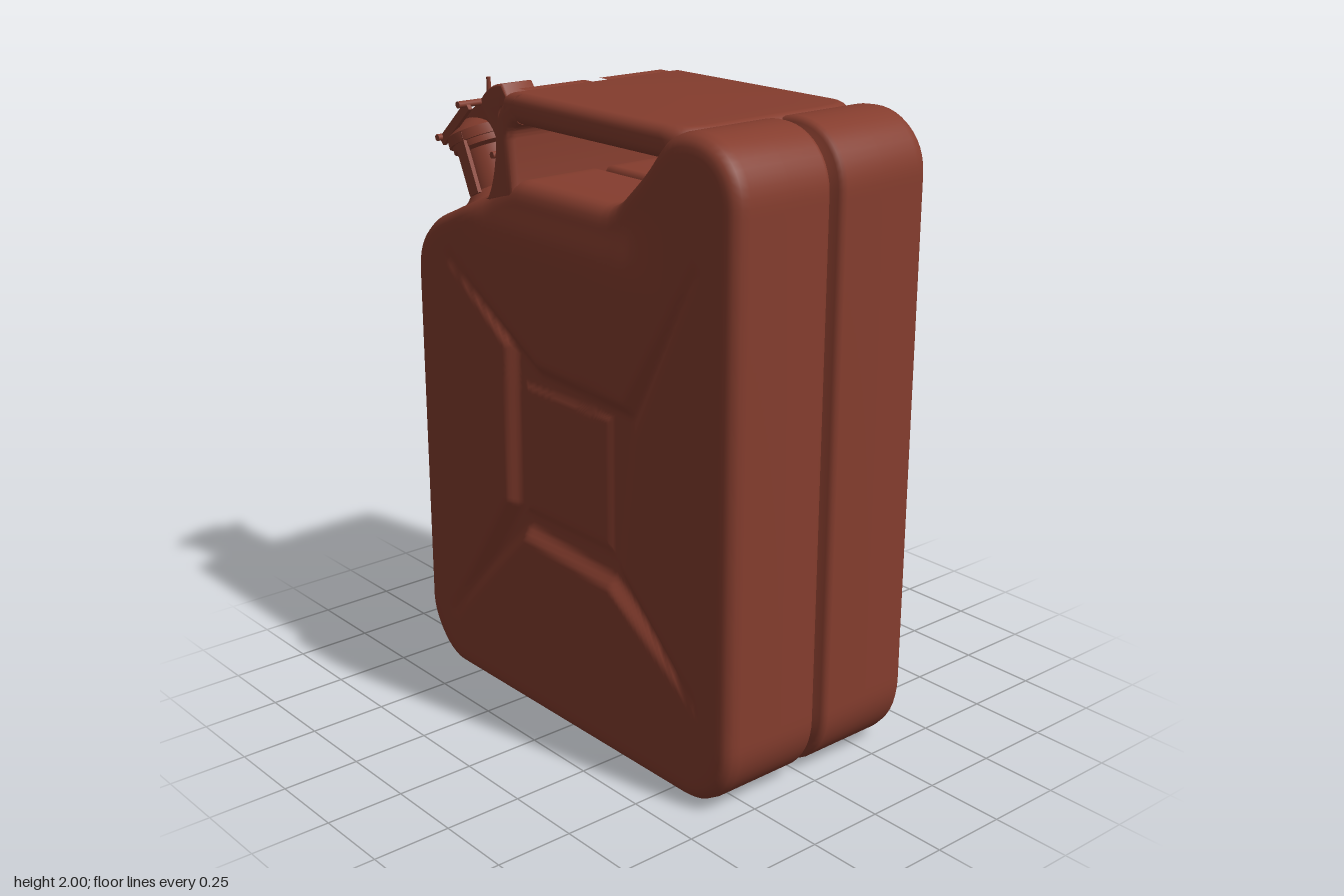
import * as THREE from 'three';
import { toCreasedNormals } from 'three/addons/utils/BufferGeometryUtils.js';

const paint = new THREE.MeshStandardMaterial({ color: 0x853d2e });
paint.name = 'rust red paint';

const smooth = THREE.MathUtils.smoothstep;

function part(name, geometry, parent) {
  const mesh = new THREE.Mesh(geometry, paint);
  mesh.name = name;
  parent.add(mesh);
  return mesh;
}

// Side outline of the can, counter-clockwise
function bodyOutline() {
  const s = new THREE.Shape();
  s.moveTo(-0.58, 0);
  s.lineTo(0.58, 0);
  s.bezierCurveTo(0.68, 0.01, 0.76, 0.1, 0.76, 0.22);
  s.lineTo(0.765, 1.82);
  s.bezierCurveTo(0.765, 1.92, 0.69, 2, 0.58, 2);
  s.bezierCurveTo(0.5, 2, 0.46, 1.97, 0.39, 1.9);
  s.lineTo(0.25, 1.77);
  s.quadraticCurveTo(0.21, 1.73, 0.17, 1.73);
  s.lineTo(-0.24, 1.73);
  s.quadraticCurveTo(-0.31, 1.72, -0.39, 1.67);
  s.lineTo(-0.58, 1.585);
  s.bezierCurveTo(-0.7, 1.54, -0.765, 1.47, -0.765, 1.36);
  s.lineTo(-0.765, 0.2);
  s.bezierCurveTo(-0.765, 0.12, -0.68, 0, -0.58, 0);
  return s.getSpacedPoints(240).slice(0, -1);
}

// Pressed cross in the broad faces
const cross = [
  [-0.57, 1.44], [-0.12, 1.18], [0.3, 1.16], [0.6, 1.62], [0.34, 1.1], [0.28, 0.64],
  [0.61, 0.33], [0.22, 0.57], [-0.2, 0.6], [-0.61, 0.19], [-0.28, 0.69], [-0.27, 1.22],
];

// Distance to the cross outline, positive inside
function crossDistance(x, y) {
  let best = Infinity, inside = false;
  for (let i = 0, j = cross.length - 1; i < cross.length; j = i++) {
    const [ax, ay] = cross[j], [bx, by] = cross[i];
    const dx = bx - ax, dy = by - ay;
    const t = THREE.MathUtils.clamp(((x - ax) * dx + (y - ay) * dy) / (dx * dx + dy * dy), 0, 1);
    best = Math.min(best, Math.hypot(x - ax - t * dx, y - ay - t * dy));
    if ((ay > y) !== (by > y) && x < ax + ((y - ay) / dy) * dx) inside = !inside;
  }
  return inside ? best : -best;
}

function faceRelief(x, y) {
  const recess = 0.032 * smooth(crossDistance(x, y), -0.02, 0.04);
  const pad = 0.01 * smooth(0.21 - Math.max(Math.abs(x), Math.abs(y - 0.89)), -0.01, 0.015);
  return pad - recess;
}

// One pressed half: seam groove, wall, rounded rim, then the embossed face
function halfShell(side) {
  const outline = bodyOutline(), n = outline.length;
  const normals = outline.map((p, i) => {
    const a = outline[(i + n - 1) % n], b = outline[(i + 1) % n];
    return new THREE.Vector2(b.y - a.y, a.x - b.x).normalize();
  });
  const profile = [[0.045, 0], [0.042, 0.01], [0.015, 0.018], [0.004, 0.027], [0, 0.04],
    [0, 0.18], [0, 0.32], [0.005, 0.346], [0.018, 0.364], [0.036, 0.372], [0.055, 0.374]];
  const faceRings = 60, cx = 0, cy = 0.9;
  const rows = profile.map(p => [...p, 1]);
  for (let k = 1; k <= faceRings; k++) rows.push([0.055, 0.374, 1 - k / faceRings]);
  const pos = [], index = [];
  rows.forEach(([inset, z, s], r) => {
    for (let i = 0; i < n; i++) {
      const x = cx + s * (outline[i].x - inset * normals[i].x - cx);
      const y = cy + s * (outline[i].y - inset * normals[i].y - cy);
      // slightly narrower shoulder below the handle
      const taper = 1 - 0.09 * smooth(y, 1.52, 1.74) * smooth(-x, -0.5, -0.3) * smooth(x, -0.52, -0.36);
      pos.push(x, y, side * (z + (s < 1 ? faceRelief(x, y) : 0)) * taper);
      if (r === rows.length - 1) continue;
      const a = r * n + i, b = r * n + (i + 1) % n, c = b + n, d = a + n;
      if (side > 0) index.push(a, b, c, a, c, d);
      else index.push(a, c, b, a, d, c);
    }
  });
  const g = new THREE.BufferGeometry();
  g.setAttribute('position', new THREE.Float32BufferAttribute(pos, 3));
  g.setIndex(index);
  g.computeVertexNormals();
  return g;
}

// Extrusion whose rounded edges stay within the drawn shape
function rounded(shape, depth, r) {
  const g = new THREE.ExtrudeGeometry(shape, {
    depth: depth - 2 * r, bevelEnabled: true, bevelSize: r, bevelThickness: r,
    bevelOffset: -r, bevelSegments: 5, curveSegments: 16,
  });
  g.translate(0, 0, r - depth / 2);
  return toCreasedNormals(g, 0.7);
}

function buildHandle(parent) {
  const handle = new THREE.Group();
  handle.name = 'handle';
  parent.add(handle);

  // Three bars formed by a plate with two slots
  const plate = new THREE.Shape();
  plate.moveTo(-0.29, -0.345);
  plate.lineTo(0.42, -0.345);
  plate.quadraticCurveTo(0.53, -0.34, 0.53, -0.2);
  plate.lineTo(0.53, 0.2);
  plate.quadraticCurveTo(0.53, 0.34, 0.42, 0.345);
  plate.lineTo(-0.29, 0.345);
  for (const z of [-0.155, 0.155]) {
    const slot = new THREE.Path();
    slot.moveTo(-0.265, z - 0.09);
    slot.lineTo(0.22, z - 0.09);
    slot.bezierCurveTo(0.37, z - 0.08, 0.37, z + 0.08, 0.22, z + 0.09);
    slot.lineTo(-0.265, z + 0.09);
    slot.closePath();
    plate.holes.push(slot);
  }
  const bars = part('handleBars', rounded(plate, 0.095, 0.035), handle);
  bars.rotation.x = -Math.PI / 2;
  bars.position.y = 1.949;

  // Upright web at the spout end
  const leg = new THREE.Shape();
  leg.moveTo(-0.25, 1.66);
  leg.lineTo(-0.268, 1.85);
  leg.quadraticCurveTo(-0.268, 1.9, -0.225, 1.902);
  leg.lineTo(-0.225, 1.996);
  leg.bezierCurveTo(-0.31, 1.99, -0.345, 1.93, -0.352, 1.86);
  leg.quadraticCurveTo(-0.36, 1.7, -0.42, 1.64);
  part('handleLeg', rounded(leg, 0.69, 0.03), handle);
}

function buildSpout(parent) {
  const spout = new THREE.Group();
  spout.name = 'spout';
  spout.position.set(-0.54, 1.6, 0.17);
  spout.rotation.z = 0.435;
  parent.add(spout);

  // Turned neck with a collar at the base and a rim at the mouth
  const neck = [[0.145, -0.06], [0.14, 0], [0.115, 0.02], [0.1, 0.04], [0.098, 0.17],
    [0.115, 0.18], [0.115, 0.2], [0, 0.2]].map(p => new THREE.Vector2(...p));
  part('neck', toCreasedNormals(new THREE.LatheGeometry(neck, 32), 0.6), spout);

  // Domed cap
  const cap = [[0, 0.2], [0.125, 0.2], [0.125, 0.232], [0.105, 0.25], [0.06, 0.275], [0, 0.28]]
    .map(p => new THREE.Vector2(...p));
  part('cap', toCreasedNormals(new THREE.LatheGeometry(cap, 32), 0.6), spout);

  // Locking lever curling over the cap
  const lever = new THREE.Shape();
  lever.moveTo(-0.08, 0.24);
  lever.lineTo(0.1, 0.24);
  lever.quadraticCurveTo(0.14, 0.2, 0.12, 0.1);
  lever.lineTo(0.16, 0.1);
  lever.quadraticCurveTo(0.15, 0.22, 0.2, 0.25);
  lever.lineTo(0.25, 0.24);
  lever.lineTo(0.235, 0.315);
  lever.quadraticCurveTo(0.17, 0.34, 0.1, 0.305);
  lever.lineTo(-0.08, 0.275);
  part('lever', rounded(lever, 0.12, 0.008), spout);

  // Cross pins
  for (const [x, y, len] of [[-0.075, 0.245, 0.27], [0.1, 0.3, 0.29], [0.14, 0.12, 0.2]]) {
    const pin = part('pin', new THREE.CylinderGeometry(0.011, 0.011, len, 12), spout);
    pin.rotation.x = Math.PI / 2;
    pin.position.set(x, y, 0);
  }

  // Side straps that hold the cap
  for (const z of [-0.112, 0.112]) {
    const strap = part('strap', new THREE.BoxGeometry(0.05, 0.2, 0.014), spout);
    strap.position.set(0.015, 0.13, z);
    const arm = part('strapArm', new THREE.BoxGeometry(0.2, 0.03, 0.014), spout);
    arm.position.set(0.015, 0.262, z);
    arm.rotation.z = 0.3;
  }

  // Small upright safety pin
  const stud = part('safetyPin', new THREE.CylinderGeometry(0.007, 0.007, 0.09, 8), spout);
  stud.position.set(0.12, 0.325, 0.03);
  stud.rotation.z = -0.435;
}

export function createModel() {
  const can = new THREE.Group();
  can.name = 'fuelCan';
  part('frontShell', halfShell(1), can);
  part('backShell', halfShell(-1), can);
  buildHandle(can);
  buildSpout(can);
  return can;
}
